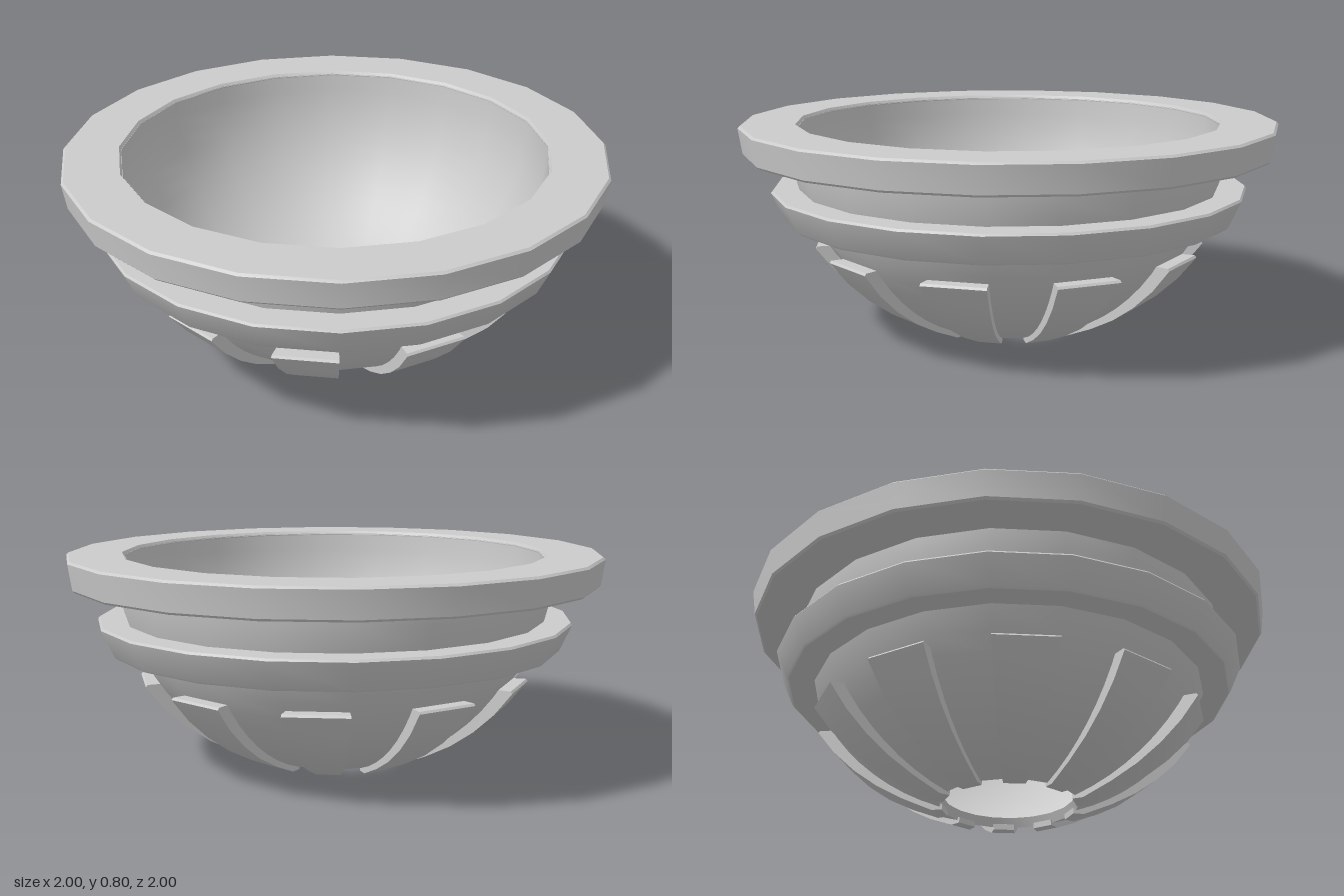
import * as THREE from 'three';
import { toCreasedNormals, mergeGeometries } from 'three/addons/utils/BufferGeometryUtils.js';

const SIDES = 20;
const STEP = (Math.PI * 2) / SIDES;
const TOP = 0.795; // height of the rim and of the bowl's centre
const grey = new THREE.MeshStandardMaterial({ color: 0xcccccc });
const greyDouble = new THREE.MeshStandardMaterial({ color: 0xcccccc, side: THREE.DoubleSide });

const toVectors = (list) => list.map(([r, y]) => new THREE.Vector2(r, y));

// Points of a spherical arc centred at the rim height, between two heights
function arc(radius, yFrom, yTo, count) {
  const a0 = Math.asin((yFrom - TOP) / radius);
  const a1 = Math.asin((yTo - TOP) / radius);
  return Array.from({ length: count + 1 }, (_, i) => {
    const a = a0 + ((a1 - a0) * i) / count;
    return [radius * Math.cos(a), TOP + radius * Math.sin(a)];
  });
}

// Closed ring turned from a profile (outside upwards, inside downwards)
function ring(name, profile) {
  const points = toVectors([...profile, profile[0]]);
  const geometry = toCreasedNormals(new THREE.LatheGeometry(points, SIDES), 0.5);
  const mesh = new THREE.Mesh(geometry, grey);
  mesh.name = name;
  return mesh;
}

// One-facet rib: a slice of a lathe closed by two flat side caps
function ribGeometry(profile) {
  const body = toCreasedNormals(new THREE.LatheGeometry(toVectors([...profile, profile[0]]), 1, 0, STEP), 0.5);
  const caps = [0, STEP].map((phi) => {
    const cap = new THREE.ShapeGeometry(new THREE.Shape(toVectors(profile)));
    return cap.rotateY(phi - Math.PI / 2).toNonIndexed();
  });
  return mergeGeometries([body, ...caps]);
}

export function createModel() {
  const group = new THREE.Group();

  // Open bowl shell with a round hole in its base
  group.add(ring('bowlShell', [
    ...arc(0.825, 0.012, 0.78, 14),
    ...arc(0.787, 0.785, 0.047, 14),
  ]));

  // Wide flared rim
  group.add(ring('rim', [
    [0.8, 0.685], [0.978, 0.685], [0.986, 0.693], [1, 0.787],
    [0.992, TOP], [0.795, TOP], [0.786, 0.782],
  ]));

  // Middle band
  group.add(ring('middleBand', [
    [0.72, 0.44], [0.84, 0.44], [0.848, 0.448], [0.892, 0.545],
    [0.886, 0.553], [0.77, 0.553],
  ]));

  // Ribs over every second facet of the lower bowl
  const outer = [[0.29, 0], [0.4, 0.048], [0.5, 0.102], [0.59, 0.167], [0.67, 0.242], [0.738, 0.328], [0.732, 0.336]];
  const rib = ribGeometry([[0.25, 0], ...outer, ...arc(0.812, 0.336, 0.022, 8)]);
  const ribs = new THREE.Group();
  ribs.name = 'ribs';
  for (let i = 0; i < SIDES / 2; i++) {
    const mesh = new THREE.Mesh(rib, greyDouble);
    mesh.name = `rib${i + 1}`;
    mesh.rotation.y = i * 2 * STEP;
    ribs.add(mesh);
  }
  group.add(ribs);

  return group;
}
